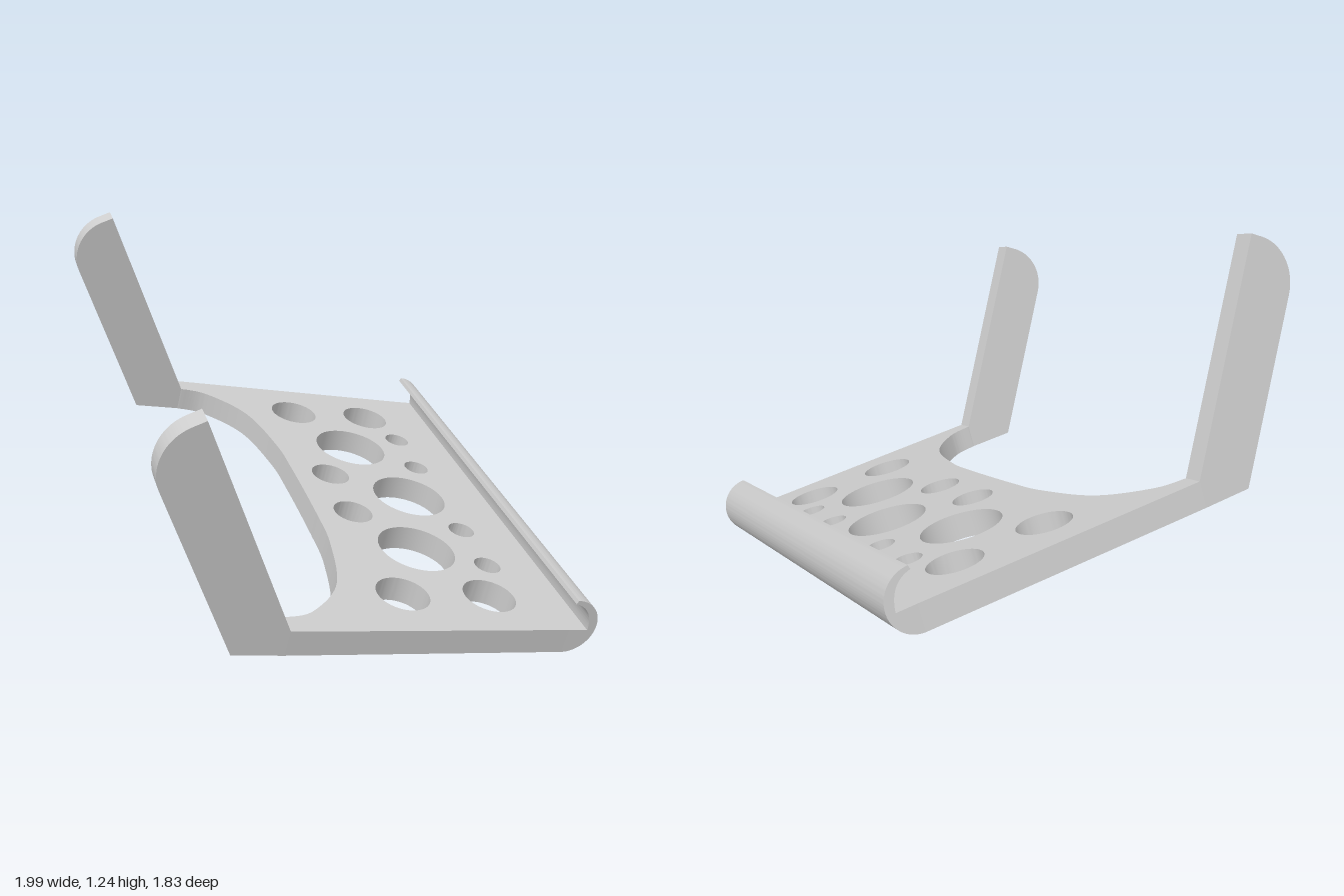
import * as THREE from 'three';
import { toCreasedNormals } from 'three/addons/utils/BufferGeometryUtils.js';

const BOTTOM = 0.256, TOP = 0.336;     // plate faces, along the plate normal
const ARM_OUT = 0.77, ARM_IN = 0.705;  // arm sides, along the plate length
const LIP_HALF = 0.748;                // half length of the curled lip

const material = new THREE.MeshStandardMaterial({ color: 0xcccccc });

function extruded(name, shape, depth) {
  const flat = new THREE.ExtrudeGeometry(shape, { depth, bevelEnabled: false, curveSegments: 32 });
  const mesh = new THREE.Mesh(toCreasedNormals(flat, 0.5), material);
  mesh.name = name;
  return mesh;
}

// Flat plate with a scooped rear edge and a symmetric pattern of round holes
function makePlate() {
  const scoop = [[-0.25, 0.675], [-0.135, 0.54], [-0.083, 0.32]];
  const shape = new THREE.Shape();
  shape.moveTo(0.54, -LIP_HALF);
  shape.lineTo(0.54, LIP_HALF);
  shape.lineTo(-0.343, ARM_OUT);
  shape.lineTo(-0.343, ARM_IN);
  shape.splineThru([
    ...scoop, [-0.073, 0.15], [-0.073, -0.15],
    ...scoop.map(([x, y]) => [x, -y]).reverse(), [-0.343, -ARM_IN],
  ].map(([x, y]) => new THREE.Vector2(x, y)));
  shape.lineTo(-0.343, -ARM_OUT);
  shape.closePath();

  // across, along, radius
  const holes = [
    [0.0625, 0.58, 0.083], [0.35, 0.58, 0.083], [0.206, 0.33, 0.125],
    [0.42, 0.413, 0.043], [0.418, 0.207, 0.043], [0.061, 0.122, 0.065],
  ];
  const addHole = (x, y, r) => {
    const path = new THREE.Path();
    path.absarc(x, y, r, 0, Math.PI * 2, true);
    shape.holes.push(path);
  };
  addHole(0.309, 0, 0.125);
  for (const [x, y, r] of holes) for (const s of [1, -1]) addHole(x, s * y, r);

  const plate = extruded('plate', shape, TOP - BOTTOM);
  plate.rotation.x = -Math.PI / 2;
  plate.position.y = BOTTOM;
  return plate;
}

// Half-round lip curling up along the front edge
function makeLip() {
  const r = 0.092, cx = 0.537, cy = BOTTOM + r;
  const shape = new THREE.Shape();
  shape.moveTo(cx, BOTTOM);
  shape.absarc(cx, cy, r, -Math.PI / 2, Math.PI / 2, false);
  shape.lineTo(cx - 0.004, cy + r - 0.012);
  shape.quadraticCurveTo(0.597, 0.415, 0.603, TOP);
  shape.lineTo(cx, TOP);
  shape.closePath();
  const lip = extruded('curledLip', shape, 2 * LIP_HALF);
  lip.position.z = -LIP_HALF;
  return lip;
}

// Arm leaning outward by 30 degrees, its outer top corner rounded
function makeArm(name, z) {
  const length = 0.707, width = 0.173, round = 0.135;
  const at = (across, up) => [-0.343 - 0.866 * across - 0.5 * up, TOP - 0.5 * across + 0.866 * up];
  const shape = new THREE.Shape();
  shape.moveTo(-0.497, BOTTOM);
  shape.lineTo(-0.343, BOTTOM);
  shape.lineTo(-0.343, TOP);
  shape.lineTo(...at(0, length));
  shape.lineTo(...at(width - round, length));
  const k = 0.45 * round;
  shape.bezierCurveTo(...at(width - k, length), ...at(width, length - k), ...at(width, length - round));
  shape.closePath();
  const arm = extruded(name, shape, ARM_OUT - ARM_IN);
  arm.position.z = z;
  return arm;
}

export function createModel() {
  const model = new THREE.Group();
  model.name = 'perforatedBracket';

  // The whole bracket lies tilted and turned
  const bracket = new THREE.Group();
  bracket.name = 'bracket';
  bracket.rotation.set(0.305, -Math.PI / 6, 0);

  const body = new THREE.Group();
  body.name = 'body';
  body.position.z = -0.146;
  body.add(makePlate(), makeLip(), makeArm('nearArm', ARM_IN), makeArm('farArm', -ARM_OUT));

  bracket.add(body);
  model.add(bracket);
  return model;
}
